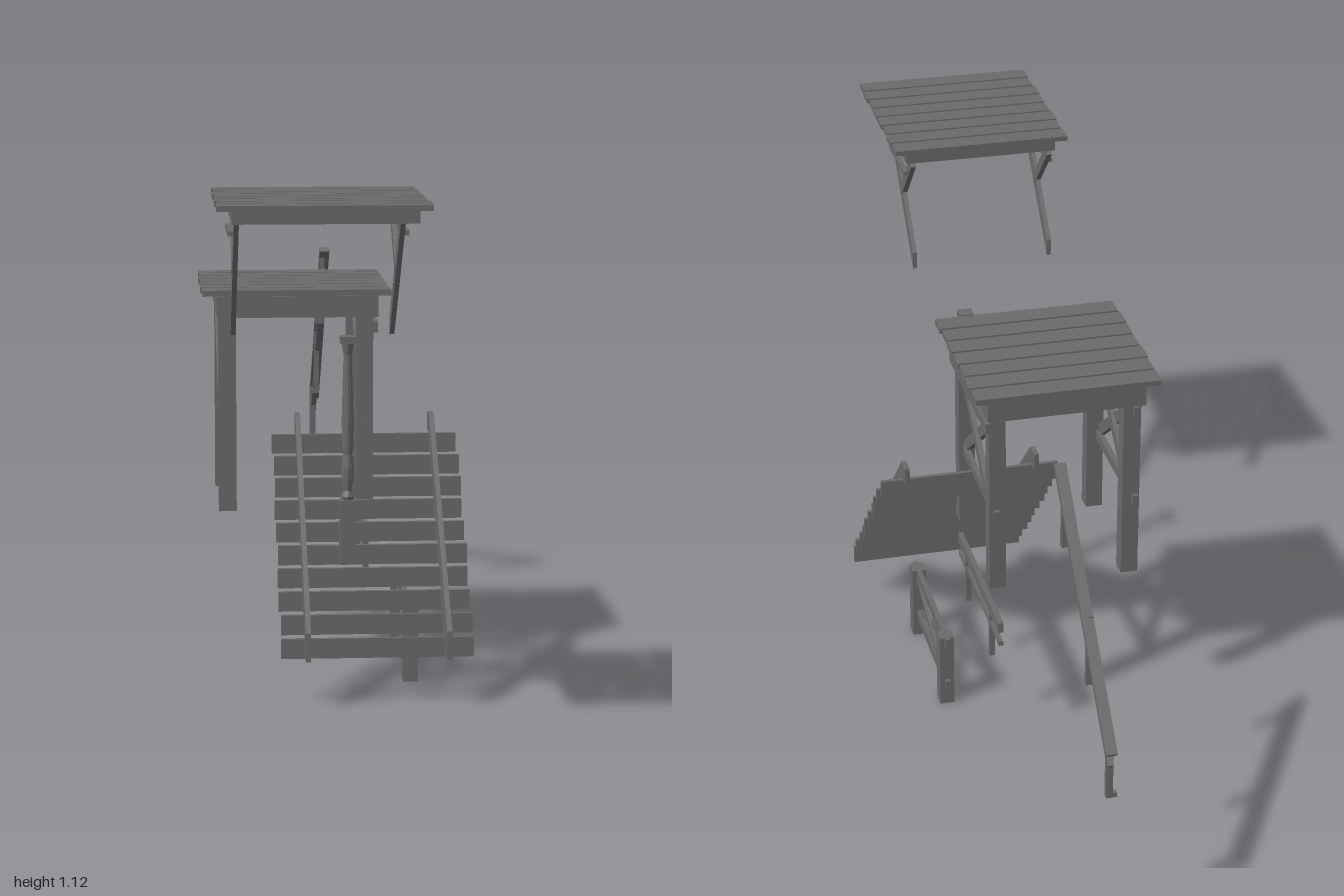
import * as THREE from 'three';

const mat = new THREE.MeshStandardMaterial({ color: 0x6a6a6a, flatShading: true });

function add(parent, name, geo) {
  const m = new THREE.Mesh(geo, mat);
  m.name = name;
  parent.add(m);
  return m;
}

function group(parent, name) {
  const g = new THREE.Group();
  g.name = name;
  parent.add(g);
  return g;
}

// axis-aligned beam given by its limits
function beam(parent, name, x0, x1, y0, y1, z0, z1) {
  const m = add(parent, name, new THREE.BoxGeometry(x1 - x0, y1 - y0, z1 - z0));
  m.position.set((x0 + x1) / 2, (y0 + y1) / 2, (z0 + z1) / 2);
}

// sloping bar in a plane of constant x, from (z0, y0) to (z1, y1)
function bar(parent, name, x, w, z0, y0, z1, y1, t) {
  const m = add(parent, name, new THREE.BoxGeometry(w, t, Math.hypot(z1 - z0, y1 - y0)));
  m.position.set(x, (y0 + y1) / 2, (z0 + z1) / 2);
  m.rotation.x = -Math.atan2(y1 - y0, z1 - z0);
}

// flat board of width w across x, cut to an outline of (z, y) points
function cutBoard(parent, name, x, w, outline) {
  const shape = new THREE.Shape(outline.map(([z, y]) => new THREE.Vector2(-z, y)));
  const geo = new THREE.ExtrudeGeometry(shape, { depth: w, bevelEnabled: false });
  geo.translate(0, 0, -w / 2).rotateY(Math.PI / 2);
  add(parent, name, geo).position.x = x;
}

// row of slightly uneven planks running along x
function planks(parent, n, x0, x1, y0, y1, z0, z1, gap) {
  const pitch = (z1 - z0 + gap) / n;
  for (let i = 0; i < n; i++) {
    const d = 0.002 * Math.sin(i * 2.3), z = z0 + i * pitch;
    beam(parent, 'plank', x0 + d, x1 + d, y0, y1, z, z + pitch - gap);
  }
}

// rectangular frame of four beams
function frame(parent, x0, x1, y0, y1, z0, z1, t) {
  beam(parent, 'frontBeam', x0, x1, y0, y1, z1 - t, z1);
  beam(parent, 'backBeam', x0, x1, y0, y1, z0, z0 + t);
  beam(parent, 'rightBeam', x0, x0 + t, y0, y1, z0 + t, z1 - t);
  beam(parent, 'leftBeam', x1 - t, x1, y0, y1, z0 + t, z1 - t);
}

function buildPlatform(root) {
  const g = group(root, 'platform');
  planks(g, 7, -0.288, 0.126, 0.85, 0.863, -0.23, 0.18, 0.007);
  frame(g, -0.255, 0.099, 0.803, 0.85, -0.225, 0.183, 0.022);
  for (const [x0, x1, xLow, xHigh, zHigh] of [[-0.252, -0.213, -0.241, -0.24, 0.148], [0.053, 0.09, 0.075, 0.094, 0.157]]) {
    beam(g, 'frontLeg', x0, x1, 0.367, 0.803, 0.112, 0.15);
    beam(g, 'backLeg', x0, x1, 0.367, 0.803, -0.196, -0.158);
    beam(g, 'upperTie', xHigh - 0.006, xHigh + 0.006, 0.765, 0.79, -0.207, zHigh);
    beam(g, 'lowerTie', xLow - 0.006, xLow + 0.006, 0.546, 0.568, -0.207, 0.157);
    bar(g, 'crossBrace', xLow - 0.004, 0.012, 0.118, 0.562, -0.162, 0.772, 0.026);
    bar(g, 'crossBrace', xLow + 0.004, 0.012, 0.118, 0.772, -0.162, 0.562, 0.026);
  }
}

function buildCanopy(root) {
  const g = group(root, 'canopy');
  planks(g, 8, -0.275, 0.138, 1.108, 1.119, 0.553, 0.998, 0.007);
  frame(g, -0.246, 0.112, 1.083, 1.108, 0.56, 0.99, 0.02);
  for (const [x, side] of [[-0.232, -1], [0.096, 1]]) {
    cutBoard(g, 'mainBrace', x, 0.01, [[0.557, 0.855], [0.782, 1.085], [0.825, 1.085], [0.557, 0.815]]);
    bar(g, 'shortBrace', x, 0.012, 0.565, 1.083, 0.685, 0.963, 0.024);
    const tx = x + side * 0.01;
    beam(g, 'tie', tx - 0.006, tx + 0.006, 1.039, 1.049, 0.595, 0.765);
  }
}

function buildStairs(root) {
  const g = group(root, 'stairs');
  // stringer: straight sloping front, toothed back
  const outline = [[0.03, 0.568], [0.07, 0.568], [0.487, 0.166], [0.487, 0.104]];
  for (let i = 0; i <= 10; i++) {
    const z = 0.44 - 0.041 * i, y = 0.104 + 0.0422 * i;
    outline.push([z, y]);
    if (i < 10) outline.push([z, y + 0.0422]);
  }
  for (const x of [-0.073, 0.228]) cutBoard(g, 'stringer', x, 0.011, outline);
  // upright boards on the teeth
  for (let i = 0; i < 10; i++) {
    const z = 0.44 - 0.041 * i, y = 0.1 + 0.0424 * i, d = 0.002 * Math.sin(i * 1.9);
    beam(g, 'stepBoard', -0.129 + d, 0.285 + d, y, y + 0.043, z - 0.01, z);
  }
}

function buildFence(root) {
  const g = group(root, 'fencePanel'), x = 0.165;
  for (const z of [0.244, -0.064]) beam(g, 'post', 0.149, 0.182, 0, 0.178, z - 0.018, z + 0.018);
  beam(g, 'upperTie', x - 0.006, x + 0.006, 0.155, 0.178, -0.092, 0.27);
  beam(g, 'lowerTie', x - 0.006, x + 0.006, 0.042, 0.065, -0.092, 0.27);
  bar(g, 'crossBrace', x - 0.003, 0.008, 0.228, 0.062, -0.048, 0.158, 0.012);
  bar(g, 'crossBrace', x + 0.003, 0.008, 0.228, 0.158, -0.048, 0.062, 0.012);
}

function buildRailings(root) {
  const level = group(root, 'levelRailing');
  beam(level, 'handrail', 0.075, 0.087, 0.294, 0.318, -0.268, 0.145);
  beam(level, 'lowerRail', 0.076, 0.086, 0.26, 0.271, -0.268, 0.145);
  for (const z of [0.072, -0.171]) beam(level, 'post', 0.074, 0.086, 0.178, 0.3, z - 0.007, z + 0.007);

  const slope = group(root, 'slopingRailing');
  bar(slope, 'handrail', 0.027, 0.024, -0.564, 0.876, -0.997, 0.445, 0.013);
  bar(slope, 'lowerRail', 0.024, 0.012, -0.564, 0.825, -0.982, 0.408, 0.011);
  for (const [z, y] of [[-0.585, 0.692], [-0.795, 0.487], [-0.96, 0.32]]) {
    beam(slope, 'post', 0.014, 0.028, y, y + 0.163, z - 0.007, z + 0.007);
    beam(slope, 'foot', 0.005, 0.015, y, y + 0.01, z - 0.006, z + 0.006);
  }
}

function buildNewel(root) {
  const g = group(root, 'turnedPost');
  beam(g, 'base', 0.002, 0.035, 0.29, 0.43, 0.341, 0.374);
  beam(g, 'cap', 0.002, 0.035, 0.77, 0.785, 0.341, 0.374);
  const profile = [[0.013, 0.43], [0.015, 0.438], [0.009, 0.45], [0.013, 0.475], [0.014, 0.5], [0.01, 0.53],
    [0.012, 0.545], [0.013, 0.6], [0.011, 0.68], [0.009, 0.745], [0.014, 0.77]];
  const geo = new THREE.LatheGeometry(profile.map(([r, y]) => new THREE.Vector2(r, y)), 10);
  add(g, 'shaft', geo).position.set(0.0185, 0, 0.3575);
}

export function createModel() {
  const root = new THREE.Group();
  root.name = 'timberKit';
  buildPlatform(root);
  buildCanopy(root);
  buildStairs(root);
  buildFence(root);
  buildRailings(root);
  buildNewel(root);
  return root;
}
